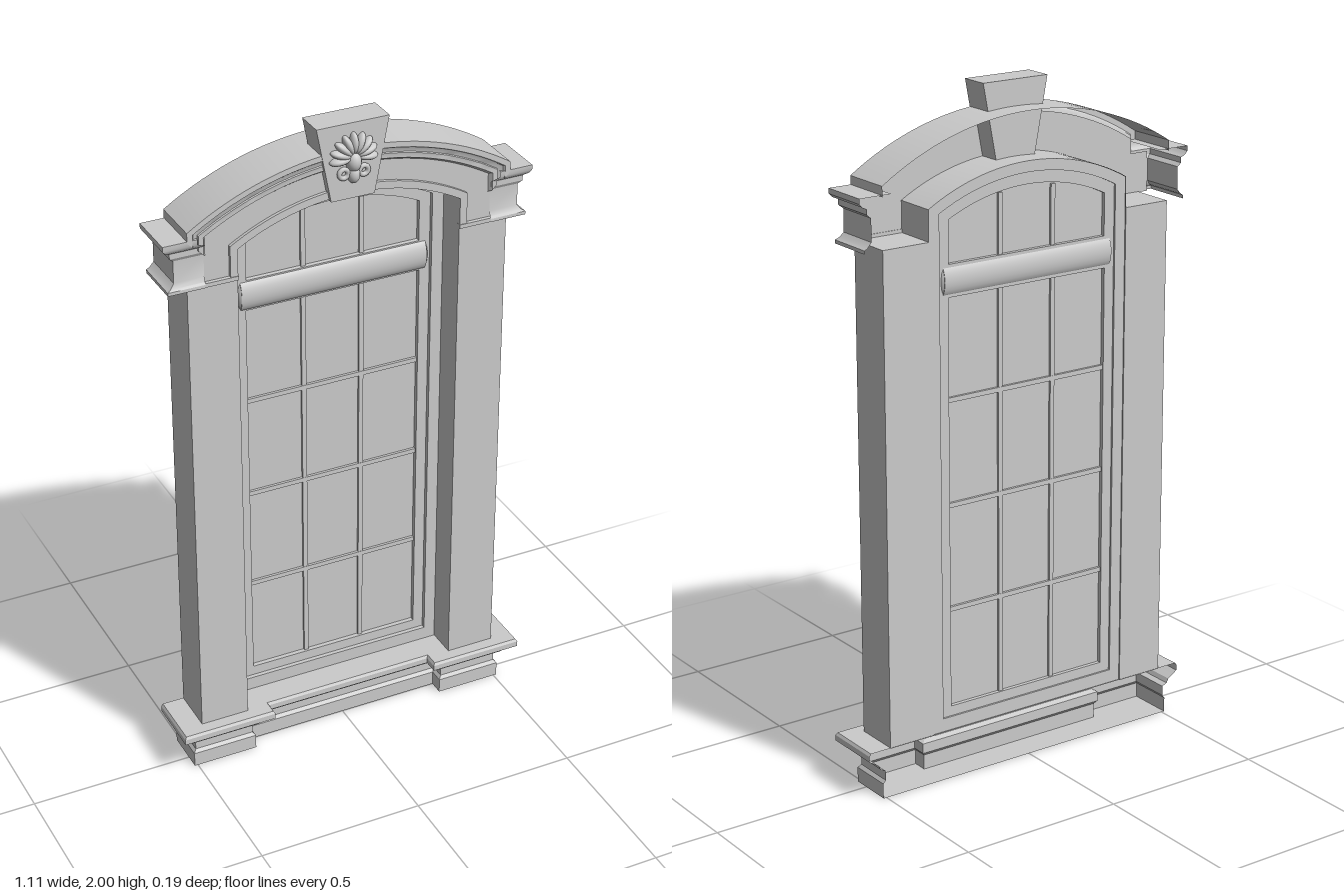
import * as THREE from 'three';
import { toCreasedNormals } from 'three/addons/utils/BufferGeometryUtils.js';

const material = new THREE.MeshStandardMaterial({ color: 0xcccccc, side: THREE.DoubleSide });
const V = (x, y, z) => new THREE.Vector3(x, y, z);
const OPEN_CY = 1.117, OPEN_R = 0.668; // arc of the window opening
const HOOD_CY = 1.042, HOOD_R = 0.883; // arc of the hood

function add(parent, name, geometry, x = 0, y = 0, z = 0) {
  const mesh = new THREE.Mesh(geometry, material);
  mesh.name = name;
  mesh.position.set(x, y, z);
  parent.add(mesh);
  return mesh;
}

// Skin between rows of points that all have the same length
function loft(rows) {
  const n = rows[0].length, index = [];
  for (let i = 0; i < rows.length - 1; i++) {
    for (let j = 0; j < n - 1; j++) {
      const a = i * n + j, b = a + 1, c = a + n, d = c + 1;
      index.push(a, c, b, b, c, d);
    }
  }
  const geometry = new THREE.BufferGeometry().setFromPoints(rows.flat());
  geometry.setIndex(index);
  return toCreasedNormals(geometry, 0.5);
}

// Arc from x = -w to x = w around (0, cy)
function arc(w, r, cy, steps = 32) {
  const end = Math.asin(w / r), points = [];
  for (let i = 0; i <= steps; i++) {
    const a = -end + (2 * end * i) / steps;
    points.push(new THREE.Vector2(r * Math.sin(a), cy + r * Math.cos(a)));
  }
  return points;
}

// Arched outline with straight legs down to y0
const arched = (w, y0, r) => [
  new THREE.Vector2(-w, y0), ...arc(w, r, OPEN_CY), new THREE.Vector2(w, y0)];

function extrude(outline, holes, depth) {
  const shape = new THREE.Shape(outline);
  shape.holes = holes.map((h) => new THREE.Path(h));
  return toCreasedNormals(
    new THREE.ExtrudeGeometry(shape, { depth, bevelEnabled: false }), 0.5);
}

const rect = (x0, y0, x1, y1) => [[x0, y0], [x1, y0], [x1, y1], [x0, y1]]
  .map(([x, y]) => new THREE.Vector2(x, y));

// Flat horizontal plate from [x, z] corners
function plate(corners) {
  const shape = new THREE.Shape(corners.map(([x, z]) => new THREE.Vector2(x, z)));
  return new THREE.ShapeGeometry(shape).rotateX(Math.PI / 2);
}

function buildSill() {
  const sill = new THREE.Group();
  sill.name = 'sill';
  const path = (d) => {
    const half = [[0.51 + d, -0.092], [0.51 + d, 0.045 + d], [0.31 - d, 0.045 + d], [0.31 - d, d]];
    return [...half, ...half.map(([x, z]) => [-x, z]).reverse()];
  };
  const profile = [[0, 0], [0, 0.045], [-0.008, 0.055], [-0.008, 0.085], [0.008, 0.092],
    [0.014, 0.105], [0.03, 0.115], [0.045, 0.125], [0.045, 0.142], [0.04, 0.15]];
  add(sill, 'sillMoulding', loft(profile.map(([d, y]) => path(d).map(([x, z]) => V(x, y, z)))));
  add(sill, 'sillTop', plate(path(0.04)), 0, 0.15, 0);
  add(sill, 'sillBottom', plate(path(0)));
  return sill;
}

function buildWindow() {
  const win = new THREE.Group();
  win.name = 'window';
  add(win, 'outerFrame', extrude(arched(0.335, 0.15, 0.667), [arched(0.3, 0.19, 0.635)], 0.045), 0, 0, -0.088);
  add(win, 'sash', extrude(arched(0.301, 0.18, 0.636),
    [rect(-0.268, 0.22, 0.268, 1.436), arched(0.266, 1.53, 0.6)], 0.026), 0, 0, -0.082);
  add(win, 'glass', new THREE.ShapeGeometry(new THREE.Shape(arched(0.28, 0.2, 0.61))), 0, 0, -0.07);
  // Rounded bar between the main light and the arched light
  const bar = new THREE.CylinderGeometry(1, 1, 0.57, 24).rotateZ(Math.PI / 2);
  add(win, 'transom', bar, 0, 1.483, -0.067).scale.set(1, 0.048, 0.025);
  for (const s of [-1, 1]) {
    add(win, 'transomEnd', new THREE.SphereGeometry(1, 16, 12), s * 0.28, 1.483, -0.067)
      .scale.set(0.015, 0.048, 0.025);
    add(win, 'verticalMuntin', new THREE.BoxGeometry(0.014, 1.49, 0.014), s * 0.09, 0.96, -0.07);
  }
  for (const y of [0.517, 0.83, 1.14]) {
    add(win, 'horizontalMuntin', new THREE.BoxGeometry(0.54, 0.014, 0.016), 0, y, -0.07);
  }
  return win;
}

function buildHood() {
  const hood = new THREE.Group();
  hood.name = 'archedHood';
  // Curved cornice with a short upright step at each end
  const profile = [[0, -0.095], [0, 0.062], [0.016, 0.062], [0.02, 0.056], [0.034, 0.05],
    [0.036, 0.054], [0.05, 0.054], [0.058, 0.042]];
  add(hood, 'archCornice', loft(profile.map(([d, z]) => {
    const w = 0.485 - d;
    const points = [[-w, 1.75 - d], ...arc(w, HOOD_R - d, HOOD_CY).map((p) => [p.x, p.y]), [w, 1.75 - d]];
    return points.map(([x, y]) => V(x, y, z));
  })));
  // Flat frieze between cornice and opening
  const outer = [[-0.515, 1.602], [-0.515, 1.72], [-0.455, 1.72]].map(([x, y]) => new THREE.Vector2(x, y));
  const mirrored = outer.map((p) => new THREE.Vector2(-p.x, p.y)).reverse();
  const frieze = [...outer, ...arc(0.455, HOOD_R - 0.03, HOOD_CY), ...mirrored,
    ...arched(0.336, 1.602, OPEN_R).reverse()];
  add(hood, 'frieze', new THREE.ShapeGeometry(new THREE.Shape(frieze)), 0, 0, 0.042);
  // Raised edge and deep reveal of the opening
  add(hood, 'openingTrim', extrude(
    [...arched(0.358, 1.602, OPEN_R + 0.022), ...arched(0.336, 1.602, OPEN_R).reverse()], [], 0.01), 0, 0, 0.042);
  add(hood, 'reveal', loft([0.05, -0.09].map((z) =>
    arched(0.336, 1.6, OPEN_R).map((p) => V(p.x, p.y, z)))));

  // Moulded blocks above the pilasters
  const earProfile = [[0.022, 1.602], [0.022, 1.612], [0.012, 1.618], [0, 1.632], [0, 1.698],
    [0.012, 1.708], [0.012, 1.724], [0.026, 1.73], [0.035, 1.74], [0.035, 1.755]];
  for (const s of [1, -1]) {
    const path = (d) => {
      const z = 0.045 + d * 0.48;
      const points = [[0.52 + d, -0.093], [0.52 + d, z], [d > 0.03 ? 0.455 : 0.432, z]]
        .map(([x, pz]) => [s * x, pz]);
      return s > 0 ? points : points.reverse();
    };
    add(hood, 'capitalMoulding', loft(earProfile.map(([d, y]) => path(d).map(([x, z]) => V(x, y, z)))));
    add(hood, 'capitalTop', plate([[s * 0.555, -0.093], [s * 0.555, 0.0618], [s * 0.455, 0.0618],
      [s * 0.455, -0.093]]), 0, 1.755, 0);
    // Lower moulding running on across the pilaster front
    add(hood, 'capitalFoot', new THREE.BoxGeometry(0.1, 0.012, 0.014), s * 0.385, 1.608, 0.047);
  }
  return hood;
}

function buildKeystone() {
  const keystone = new THREE.Group();
  keystone.name = 'keystone';
  const outline = [[-0.065, 1.778], [0.065, 1.778], [0.108, 2], [-0.108, 2]]
    .map(([x, y]) => new THREE.Vector2(x, y));
  add(keystone, 'keystoneBlock', extrude(outline, [], 0.087), 0, 0, -0.023);
  // Carved shell: a fan of lobes over a small scrolled foot
  const lobe = new THREE.SphereGeometry(1, 16, 12);
  for (let i = -4; i <= 4; i++) {
    const a = i * 0.42, r = 0.04;
    const petal = add(keystone, 'shellLobe', lobe, r * Math.sin(a), 1.902 + r * Math.cos(a), 0.066);
    petal.scale.set(0.0125, 0.032, 0.021);
    petal.rotation.set(0, 0, -a);
  }
  add(keystone, 'shellCentre', lobe, 0, 1.888, 0.066).scale.set(0.022, 0.03, 0.024);
  add(keystone, 'shellFoot', lobe, 0, 1.85, 0.066).scale.set(0.018, 0.026, 0.02);
  for (const s of [-1, 1]) {
    const curl = new THREE.TorusGeometry(0.013, 0.007, 10, 20);
    add(keystone, 'shellCurl', curl, s * 0.03, 1.857, 0.068);
  }
  return keystone;
}

export function createModel() {
  const model = new THREE.Group();
  model.name = 'archedWindow';
  for (const s of [-1, 1]) {
    add(model, 'pilaster', new THREE.BoxGeometry(0.148, 1.456, 0.14), s * 0.41, 0.876, -0.021);
  }
  model.add(buildSill(), buildWindow(), buildHood(), buildKeystone());
  return model;
}
